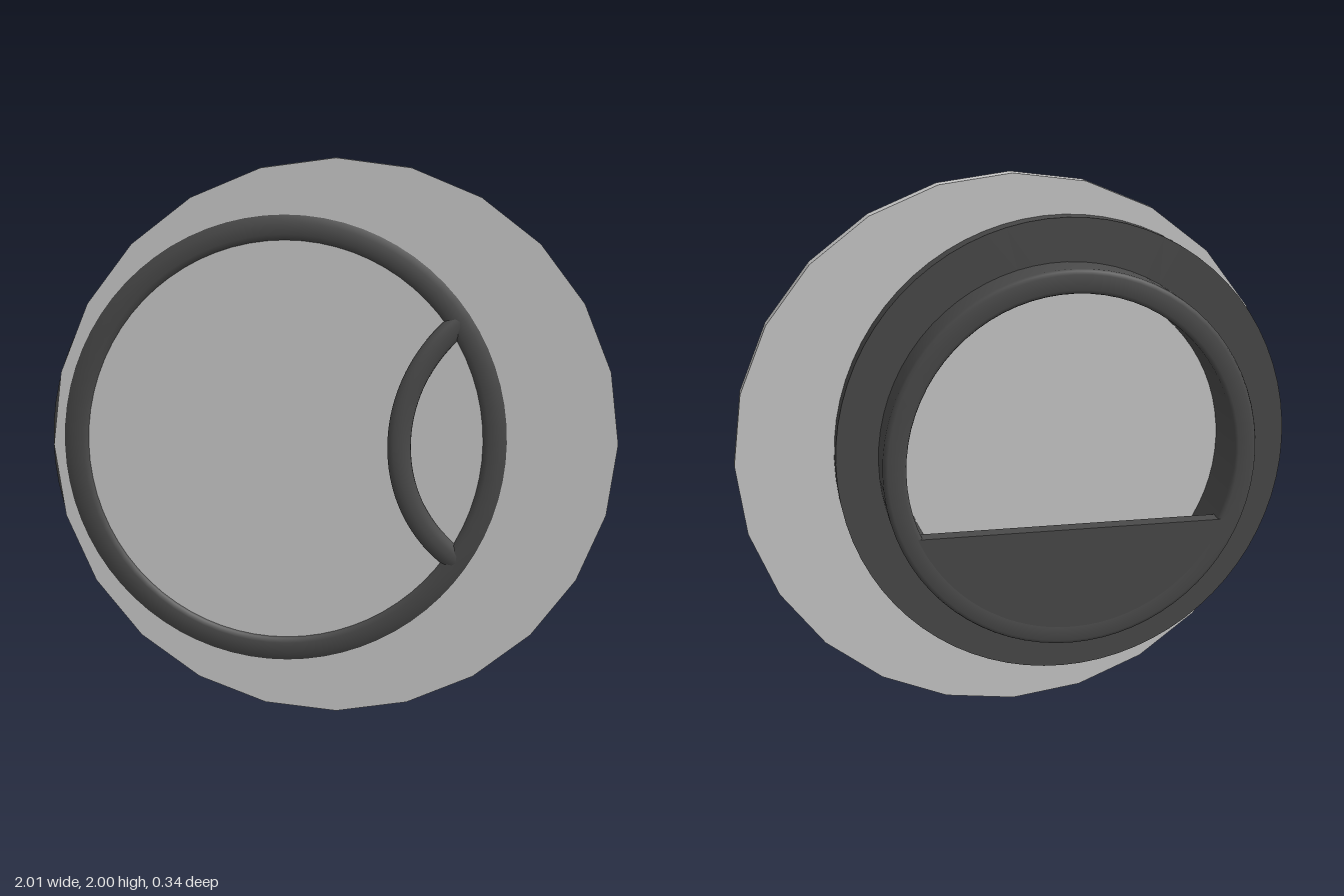
import * as THREE from 'three';
import { toCreasedNormals } from 'three/addons/utils/BufferGeometryUtils.js';

const CENTER_X = -0.178, SQUASH = 0.973;

export function createModel() {
  const group = new THREE.Group();
  const light = new THREE.MeshStandardMaterial({ color: 0xcccccc, flatShading: true });
  const dark = new THREE.MeshStandardMaterial({ color: 0x4a4a4a });

  const add = (name, geometry, material, parent = group) => {
    const mesh = new THREE.Mesh(geometry, material);
    mesh.name = name;
    parent.add(mesh);
    return mesh;
  };

  // Faceted disc facing forward
  const disc = add('disc', new THREE.CylinderGeometry(1, 1, 0.056, 24).rotateX(Math.PI / 2), light);
  disc.position.set(0, 1, 0.077);

  // Off-centre, slightly narrow frame
  const frame = new THREE.Group();
  frame.name = 'frame';
  frame.position.set(CENTER_X, 1.003, 0);
  frame.scale.x = SQUASH;
  group.add(frame);

  // Flange, front bezel and rear collar as one closed profile (radius, depth)
  const profile = [
    [0.85, -0.02], [0.85, 0.085], [0.805, 0.105], [0.78, 0.117], [0.738, 0.117],
    [0.722, 0.112], [0.715, 0.1], [0.715, 0.08], [0.61, 0.08], [0.61, -0.155],
    [0.614, -0.164], [0.625, -0.168], [0.678, -0.168], [0.69, -0.164],
    [0.695, -0.152], [0.695, -0.02], [0.85, -0.02],
  ].map(([r, z]) => new THREE.Vector2(r, z));
  const body = new THREE.LatheGeometry(profile, 72).rotateX(Math.PI / 2);
  add('collarAndBezel', toCreasedNormals(body, 0.9), dark, frame);

  // Flat cover closing the lower part of the collar
  const r = 0.625, a = Math.asin(0.245 / r);
  const segment = new THREE.Shape();
  segment.absarc(0, 0, r, Math.PI + a, 2 * Math.PI - a, false);
  segment.closePath();
  const cover = add('lowerCover',
    new THREE.ExtrudeGeometry(segment, { depth: 0.055, bevelEnabled: false, curveSegments: 40 }), dark, frame);
  cover.position.z = -0.168;

  // Flattened curved bar, tilted so its middle stands proud of the disc
  const arc = 1.9;
  const bar = new THREE.TorusGeometry(0.53, 0.043, 14, 40, arc)
    .rotateZ(Math.PI - arc / 2)
    .scale(1, 1, 0.47)
    .translate(0.53, 0, 0)
    .rotateY(0.235);
  add('curvedBar', bar, dark).position.set(0.222, 1.003, 0.147);

  return group;
}
